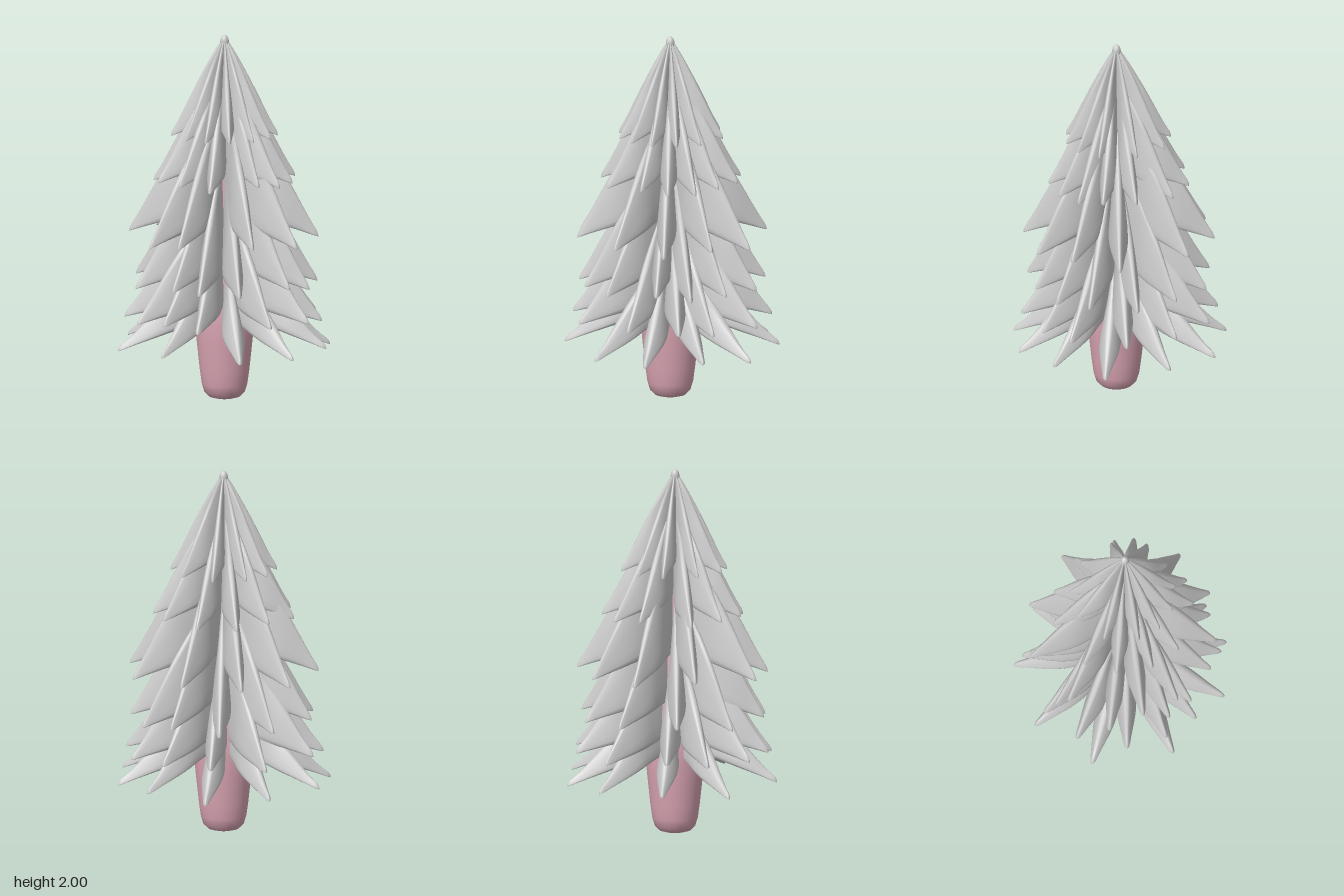
import * as THREE from 'three';

const leafMat = new THREE.MeshStandardMaterial({ color: 0xcccccc });
const trunkMat = new THREE.MeshStandardMaterial({ color: 0xdba6b4 });

// Half cross-section of a bough, from ridge to underside: [width, height] as fractions
const HALF = [[0, 1], [0.2, 0.985], [0.38, 0.92], [0.7, 0.6], [0.93, 0.25], [1, 0.1], [0.95, 0.03], [0.8, 0], [0, 0]];
const SECTION = [...HALF, ...HALF.slice(1, -1).reverse().map(([w, h]) => [-w, h])];

// Tiers from top to bottom: inner and outer radius, ridge top, tip height, inner underside,
// half width, ridge bow, and the direction of every bough in degrees
const TIERS = [
  { r0: 0, r1: 0.29, top: 1.99, tip: 1.445, under: 1.54, w: 0.037, bow: 1.15,
    angles: [8, 36, 64, 92, 119, 146, 184, -138, -108, -72, -33] },
  { r0: 0.03, r1: 0.385, top: 1.78, tip: 1.2, under: 1.3, w: 0.047, bow: 1.25,
    angles: [0, 22, 45, 68, 110, 138, 168, -164, -122, -94, -62, -27] },
  { r0: 0.04, r1: 0.52, top: 1.58, tip: 0.89, under: 1.02, w: 0.053, bow: 1.4,
    angles: [17, 47, 80, 127, 150, -163, -126, -94, -58, -13] },
  { r0: 0.04, r1: 0.505, top: 1.3, tip: 0.64, under: 0.75, w: 0.053, bow: 1.4,
    angles: [6, 30, 52, 88, 114, 132, 171, -152, -115, -81, -50, -24] },
  { r0: 0.05, r1: 0.54, top: 1.07, tip: 0.45, under: 0.55, w: 0.056, bow: 1.25,
    angles: [17, 38, 69, 114, 136, 160, -170, -146, -108, -76, -47, -17] },
  { r0: 0.06, r1: 0.585, top: 0.82, tip: 0.285, under: 0.45, w: 0.058, bow: 1.05,
    angles: [-5, 25, 57, 89, 134, 179, -144, -108, -74, -40] },
];

// A wedge-shaped bough lofted along +x: narrow ridge that flares out to a blunt tip, leaf-shaped underside
function boughGeometry({ r0, r1, top, tip, under, w, bow }) {
  const stations = 20, n = SECTION.length, pos = [], index = [];
  for (let i = 0; i <= stations; i++) {
    const s = Math.sin((i / stations) * Math.PI / 2); // closer together at the tip
    const low = tip + (under - tip) * (1 - s ** 1.3);
    const flare = 0.03 * Math.sin(Math.PI * s ** 5);
    const ridge = top + (tip - top) * (s ** bow + flare) + 0.035 * s ** 4;
    const round = Math.sqrt(Math.max(0, 1 - s ** 30));
    const height = Math.max(0.02, ridge - low) * round;
    const inner = 0.42 + 0.58 * Math.min(1, s / 0.45);
    const outer = 1 - 0.7 * THREE.MathUtils.smoothstep(s, 0.52, 1.02);
    const width = w * inner * outer * round;
    for (const [a, h] of SECTION) pos.push(r0 + (r1 - r0) * s, low + h * height, a * width);
  }
  for (let i = 0; i < stations; i++) {
    for (let j = 0; j < n; j++) {
      const k = (j + 1) % n;
      const a = i * n + j, b = i * n + k, c = a + n, d = b + n;
      index.push(a, b, c, b, d, c);
    }
  }
  const geo = new THREE.BufferGeometry();
  geo.setAttribute('position', new THREE.Float32BufferAttribute(pos, 3));
  geo.setIndex(index);
  geo.computeVertexNormals();
  return geo;
}

export function createModel() {
  const tree = new THREE.Group();
  tree.name = 'tree';

  // Trunk: rounded foot, widest under the boughs, then a long taper
  const outline = [[0, 0], [0.05, 0], [0.085, 0.01], [0.11, 0.035], [0.124, 0.08], [0.135, 0.16], [0.15, 0.3],
    [0.162, 0.42], [0.16, 0.52], [0.125, 0.8], [0.085, 1.2], [0.045, 1.65], [0.012, 1.93], [0, 1.94]];
  const trunk = new THREE.Mesh(
    new THREE.LatheGeometry(outline.map(([x, y]) => new THREE.Vector2(x, y)), 32), trunkMat);
  trunk.name = 'trunk';
  tree.add(trunk);

  // Tiers of boughs
  TIERS.forEach((tier, t) => {
    const group = new THREE.Group();
    group.name = `boughTier${t + 1}`;
    const geo = boughGeometry(tier);
    tier.angles.forEach((deg, i) => {
      const angle = THREE.MathUtils.degToRad(deg);
      const bough = new THREE.Mesh(geo, leafMat);
      bough.name = 'bough';
      bough.rotation.y = -angle;
      bough.scale.x = 1 - 0.03 * Math.sin(angle); // slightly shorter towards the front
      if (t > 0) bough.position.y = 0.015 * Math.sin(i * 2.4 + t); // slight unevenness
      group.add(bough);
    });
    tree.add(group);
  });

  // Rounded crown where the top boughs meet
  const crown = new THREE.Mesh(new THREE.SphereGeometry(0.024, 16, 10), leafMat);
  crown.name = 'crown';
  crown.scale.y = 1.6;
  crown.position.y = 1.96;
  tree.add(crown);

  return tree;
}
